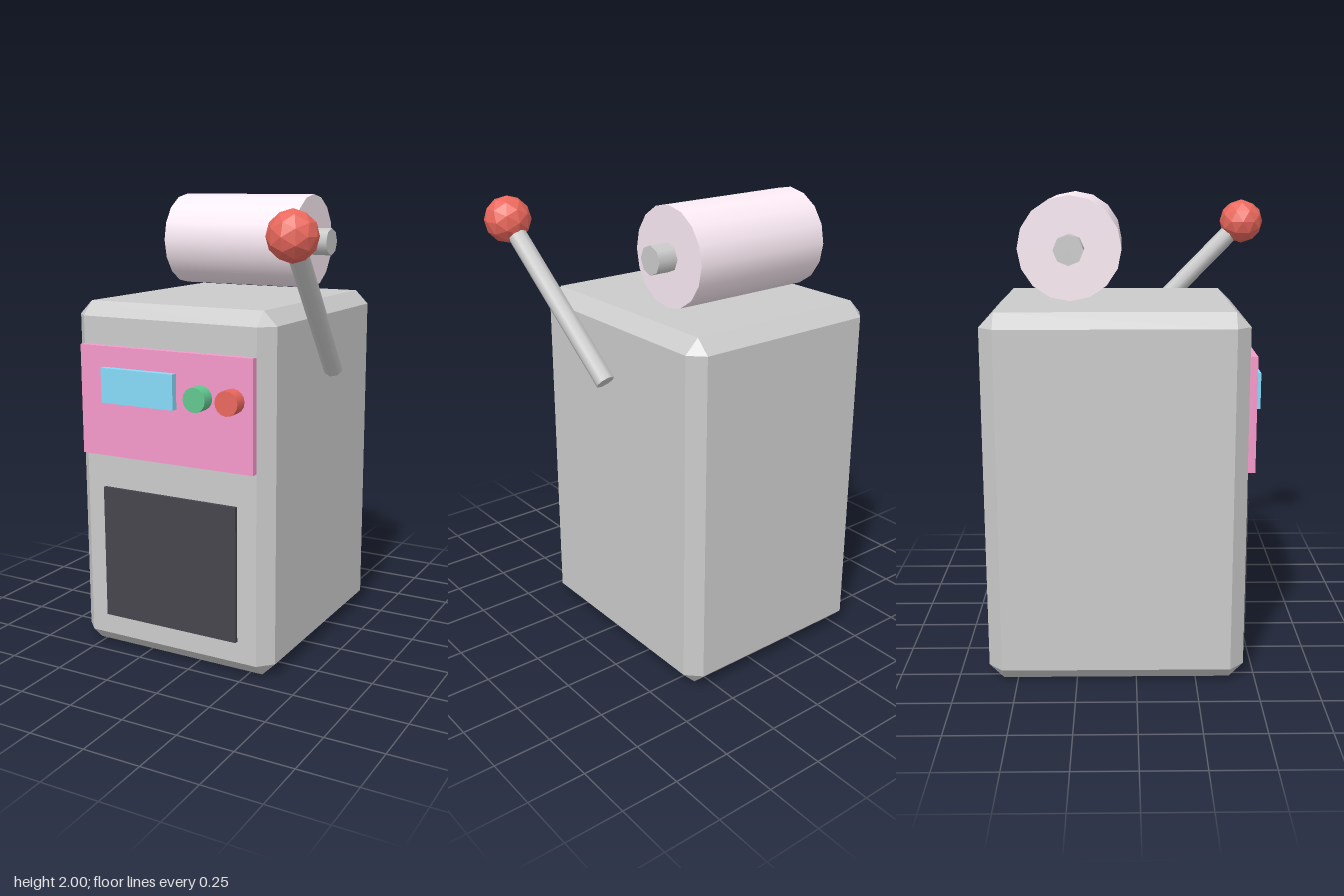
import * as THREE from 'three';
import { ConvexGeometry } from 'three/addons/geometries/ConvexGeometry.js';

const mat = (color, flatShading = false) => new THREE.MeshStandardMaterial({ color, flatShading });

export function createModel() {
  const model = new THREE.Group();
  model.name = 'machine';
  const grey = mat(0xcccccc);

  const add = (name, geometry, material) => {
    const mesh = new THREE.Mesh(geometry, material);
    mesh.name = name;
    model.add(mesh);
    return mesh;
  };

  // Box given by its limits on each axis
  const addBox = (name, [x0, x1], [y0, y1], [z0, z1], material) =>
    add(name, new THREE.BoxGeometry(x1 - x0, y1 - y0, z1 - z0), material)
      .position.set((x0 + x1) / 2, (y0 + y1) / 2, (z0 + z1) / 2);

  // Cylinder running between two points
  const addRod = (name, from, to, radius, sides, material) => {
    const a = new THREE.Vector3(...from), b = new THREE.Vector3(...to);
    const dir = b.clone().sub(a);
    const rod = add(name, new THREE.CylinderGeometry(radius, radius, dir.length(), sides), material);
    rod.position.copy(a).add(b).multiplyScalar(0.5);
    rod.quaternion.setFromUnitVectors(new THREE.Vector3(0, 1, 0), dir.normalize());
  };

  // Cabinet: box with every edge and corner chamfered
  const half = [0.477, 0.778, 0.537], chamfer = 0.06;
  const corners = [];
  for (const sx of [-1, 1]) for (const sy of [-1, 1]) for (const sz of [-1, 1]) {
    for (let face = 0; face < 3; face++) {
      const p = half.map((h, axis) => (axis === face ? h : h - chamfer));
      corners.push(new THREE.Vector3(sx * p[0], sy * p[1], sz * p[2]));
    }
  }
  add('cabinet', new ConvexGeometry(corners), mat(0xcccccc, true)).position.set(-0.112, 0.778, -0.084);

  // Front panel, screen and door
  addBox('controlPanel', [-0.53, 0.305], [0.9, 1.377], [0.44, 0.483], mat(0xf79acb));
  addBox('screen', [-0.407, -0.052], [1.138, 1.288], [0.47, 0.513], mat(0x87dbfa));
  addBox('door', [-0.44, 0.216], [0.155, 0.75], [0.44, 0.469], mat(0x46454c));

  // Buttons
  addRod('greenButton', [0.067, 1.198, 0.47], [0.067, 1.198, 0.543], 0.052, 16, mat(0x62c890));
  addRod('redButton', [0.215, 1.198, 0.47], [0.215, 1.198, 0.543], 0.052, 16, mat(0xeb685d));

  // Paper roll floating above the cabinet on its spindle
  addRod('paperRoll', [-0.44, 1.795, -0.264], [0.216, 1.795, -0.264], 0.207, 16, mat(0xfbebf4));
  addRod('spindle', [-0.53, 1.795, -0.264], [0.305, 1.795, -0.264], 0.06, 8, grey);

  // Side lever with knob
  addRod('lever', [0.403, 1.26, -0.08], [0.486, 1.855, 0.515], 0.042, 8, grey);
  add('leverKnob', new THREE.IcosahedronGeometry(0.102, 1), mat(0xeb685d, true)).position.set(0.486, 1.855, 0.515);

  return model;
}
